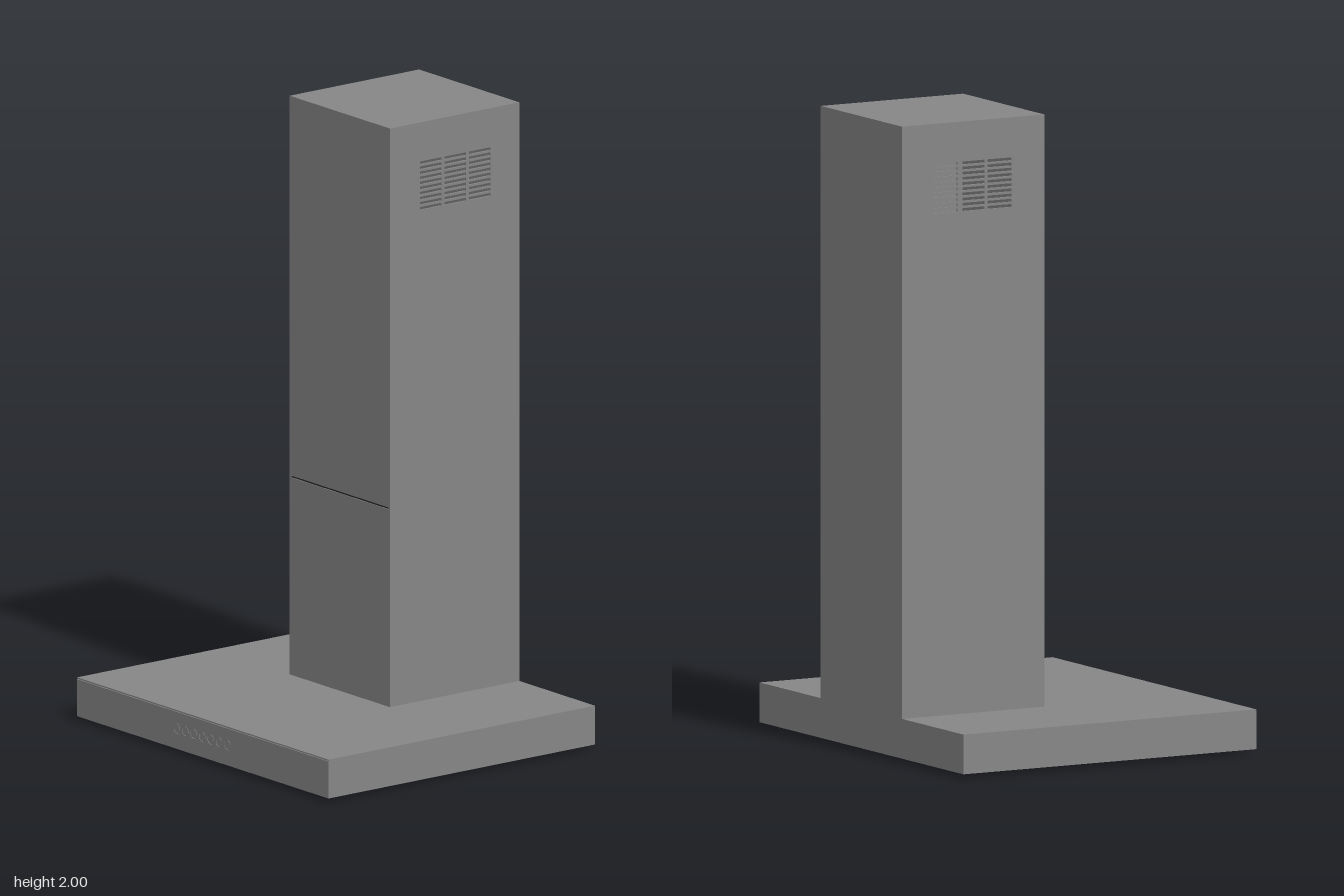
import * as THREE from 'three';

const paint = color => new THREE.MeshStandardMaterial({ color, side: THREE.DoubleSide });
const steel = paint(0x868686);
const dark = paint(0x2a2a2a);

function add(parent, name, geometry, x = 0, y = 0, z = 0, material = steel) {
  const mesh = new THREE.Mesh(geometry, material);
  mesh.name = name;
  mesh.position.set(x, y, z);
  parent.add(mesh);
  return mesh;
}

// Box given by its minimum and maximum on each axis
function box(parent, name, x0, x1, y0, y1, z0, z1, material = steel) {
  return add(parent, name, new THREE.BoxGeometry(x1 - x0, y1 - y0, z1 - z0),
    (x0 + x1) / 2, (y0 + y1) / 2, (z0 + z1) / 2, material);
}

function rect(PathType, x0, x1, y0, y1) {
  return new PathType([[x0, y0], [x1, y0], [x1, y1], [x0, y1]].map(p => new THREE.Vector2(...p)));
}

function roundHole(x, y, radius) {
  return new THREE.Path().absarc(x, y, radius, 0, Math.PI * 2, true);
}

const HALF_W = 0.632, HALF_D = 0.527;      // canopy
const BOTTOM = 0.013, TOP = 0.138, FLOOR = 0.051;
const DUCT_W = 0.252, DUCT_FRONT = -0.015; // chimney
const LAMP_X = 0.231, LAMP_Z = 0.368;

function buildCanopy() {
  const g = new THREE.Group();
  g.name = 'canopy';
  const skin = 0.004;

  // Lower layer, pierced by the filter recess and the lamp wells
  const outline = rect(THREE.Shape, -HALF_W, HALF_W, -HALF_D, HALF_D);
  outline.holes.push(rect(THREE.Path, -0.315, 0.315, -0.215, 0.42)); // shape y is -z
  for (const s of [-1, 1]) outline.holes.push(roundHole(s * LAMP_X, -LAMP_Z, 0.055));
  const lower = new THREE.ExtrudeGeometry(outline, { depth: FLOOR - BOTTOM, bevelEnabled: false, curveSegments: 24 });
  lower.rotateX(-Math.PI / 2);
  add(g, 'canopyUnderside', lower, 0, BOTTOM, 0);
  box(g, 'canopyBody', -HALF_W, HALF_W, FLOOR, TOP - 0.003, -HALF_D, HALF_D - skin);
  box(g, 'canopyTopSheet', -HALF_W, HALF_W, TOP - 0.003, TOP, -HALF_D, HALF_D);

  // Front sheet with seven round openings, a button set flush in each
  const front = rect(THREE.Shape, -HALF_W, HALF_W, FLOOR, TOP - 0.006);
  for (let i = 0; i < 7; i++) {
    const x = -0.003 + (i - 3) * 0.0424, y = 0.079;
    front.holes.push(roundHole(x, y, 0.016));
    const button = new THREE.CylinderGeometry(0.0145, 0.0145, skin, 24).rotateX(Math.PI / 2);
    add(g, 'button', button, x, y, HALF_D - skin / 2);
  }
  const sheet = new THREE.ExtrudeGeometry(front, { depth: skin, bevelEnabled: false, curveSegments: 12 });
  add(g, 'canopyFrontSheet', sheet, 0, 0, HALF_D - skin);
  return g;
}

function buildFilters() {
  const g = new THREE.Group();
  g.name = 'greaseFilters';
  const z0 = -0.415, z1 = 0.085, y0 = 0.034, y1 = 0.046;
  for (const s of [-1, 1]) {
    // Sloping border along the side of the recess
    const wedge = new THREE.Shape([[0.315, BOTTOM], [0.315, y1], [0.283, y1]].map(([x, y]) => new THREE.Vector2(s * x, y)));
    const border = new THREE.ExtrudeGeometry(wedge, { depth: z1 - z0, bevelEnabled: false });
    add(g, 'recessBorder', border, 0, 0, z0);

    // Filter with fine slats running across
    const a = s < 0 ? -0.285 : 0.004, b = a + 0.281;
    box(g, 'filterBacking', a, b, y1 - 0.002, y1, z0, z1, dark);
    box(g, 'filterFrame', a, a + 0.006, y0, y1 - 0.002, z0, z1);
    box(g, 'filterFrame', b - 0.006, b, y0, y1 - 0.002, z0, z1);
    for (let i = 0; i < 25; i++) {
      const z = z0 + 0.004 + i * 0.02;
      box(g, 'filterSlat', a + 0.006, b - 0.006, y0, y1 - 0.002, z, z + 0.012);
    }
  }
  // Plain access panel in front of the filters, with a small latch
  box(g, 'accessPanel', -0.312, 0.312, 0.024, y1, z1 + 0.005, 0.212);
  box(g, 'latch', 0.005, 0.03, 0.02, 0.024, 0.15, 0.162);
  return g;
}

function buildLamp(x) {
  const g = new THREE.Group();
  g.name = 'lamp';
  // Rounded trim ring around a deep dark disc
  const profile = [[0.05, 0.004], [0.053, 0], [0.06, 0], [0.067, 0.005], [0.071, BOTTOM]]
    .map(p => new THREE.Vector2(...p));
  add(g, 'lampTrim', new THREE.LatheGeometry(profile, 32));
  add(g, 'lampWell', new THREE.CylinderGeometry(0.05, 0.05, 0.032, 32, 1, true), 0, 0.02, 0, dark);
  add(g, 'lampLens', new THREE.CylinderGeometry(0.05, 0.05, 0.004, 32), 0, 0.034, 0, dark);
  g.position.set(x, 0, LAMP_Z);
  return g;
}

function buildChimney() {
  const g = new THREE.Group();
  g.name = 'chimney';
  const t = 0.006, seam = 0.773;

  // Side walls with three columns of louvre slots
  for (const s of [-1, 1]) {
    const wall = rect(THREE.Shape, -HALF_D, DUCT_FRONT, TOP, 2);
    for (let c = 0; c < 3; c++) {
      for (let r = 0; r < 10; r++) {
        const z = -0.412 + c * 0.0965, y = 1.718 + r * 0.0163;
        wall.holes.push(rect(THREE.Path, z, z + 0.085, y, y + 0.0095));
      }
    }
    const geometry = new THREE.ExtrudeGeometry(wall, { depth: t, bevelEnabled: false });
    geometry.rotateY(-Math.PI / 2); // shape x becomes z, thickness goes to -x
    add(g, 'chimneySide', geometry, s > 0 ? DUCT_W : -DUCT_W + t, 0, 0);
  }

  // Front in two flush sections with a narrow joint, then back and top
  const w = DUCT_W - t;
  box(g, 'chimneyLowerFront', -w, w, TOP, seam, DUCT_FRONT - t, DUCT_FRONT);
  box(g, 'chimneyJoint', -w, w, seam, seam + 0.006, DUCT_FRONT - t, DUCT_FRONT - 0.003, dark);
  box(g, 'chimneyUpperFront', -w, w, seam + 0.006, 2, DUCT_FRONT - t, DUCT_FRONT);
  box(g, 'chimneyBack', -w, w, TOP, 2, -HALF_D, -HALF_D + t);
  box(g, 'chimneyTop', -w, w, 2 - t, 2, -HALF_D + t, DUCT_FRONT - t);
  return g;
}

export function createModel() {
  const model = new THREE.Group();
  model.name = 'rangeHood';
  model.add(buildCanopy(), buildFilters(), buildLamp(-LAMP_X), buildLamp(LAMP_X), buildChimney());
  return model;
}
